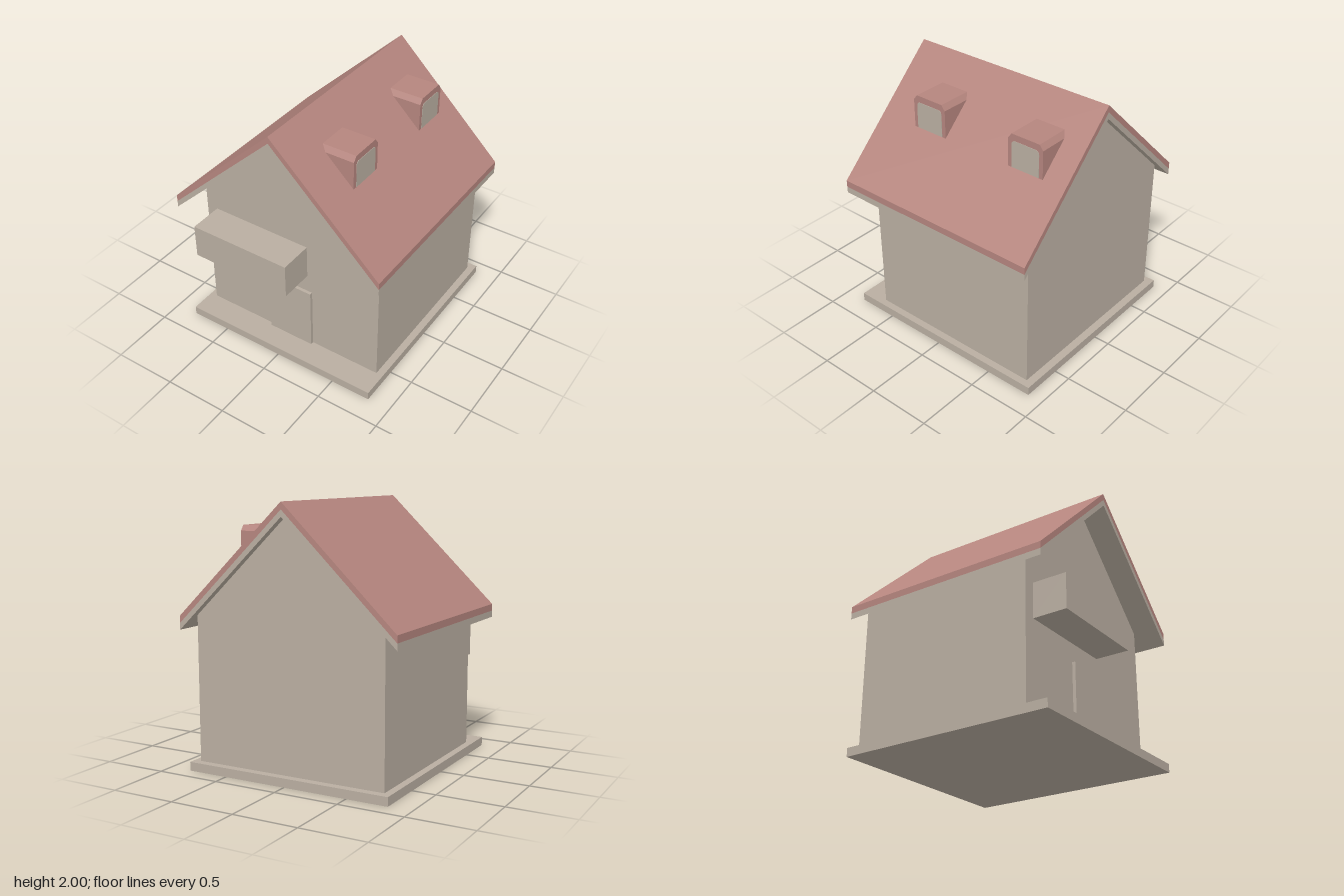
import * as THREE from 'three';

const PITCH = 0.84 / 0.88; // roof fall per unit of x
const roofY = (x) => 2 - PITCH * Math.abs(x);

function polygon(points) {
  return new THREE.Shape(points.map(([x, y]) => new THREE.Vector2(x, y)));
}

// Extrude a front profile between two depths
function extrudeZ(points, z0, z1) {
  const geo = new THREE.ExtrudeGeometry(polygon(points), { depth: z1 - z0, bevelEnabled: false });
  return geo.translate(0, 0, z0);
}

// Box given by its limits
function boxBetween(x0, x1, y0, y1, z0, z1) {
  const geo = new THREE.BoxGeometry(x1 - x0, y1 - y0, z1 - z0);
  return geo.translate((x0 + x1) / 2, (y0 + y1) / 2, (z0 + z1) / 2);
}

// Inverted V layer, measured down from the roof surface
function roofLayer(top, bottom) {
  const e = 0.88;
  return extrudeZ([
    [-e, roofY(e) - bottom], [0, 2 - bottom], [e, roofY(e) - bottom],
    [e, roofY(e) - top], [0, 2 - top], [-e, roofY(e) - top],
  ], -0.88, 0.82);
}

export function createModel() {
  const group = new THREE.Group();
  const stone = new THREE.MeshStandardMaterial({ color: 0xb9aea1 });
  stone.name = 'warm stone';
  const tile = new THREE.MeshStandardMaterial({ color: 0xb5857e });
  tile.name = 'red tile';

  const add = (name, geo, material, parent = group) => {
    const mesh = new THREE.Mesh(geo, material);
    mesh.name = name;
    parent.add(mesh);
    return mesh;
  };

  // Plinth and gabled body
  add('plinth', boxBetween(-0.82, 0.82, 0, 0.067, -0.88, 0.82), stone);
  const w = 0.765;
  const drop = 0.104;
  add('walls', extrudeZ([
    [-w, 0.067], [w, 0.067], [w, roofY(w) - drop], [0, 2 - drop], [-w, roofY(w) - drop],
  ], -0.82, 0.62), stone);

  // Front details
  add('door', boxBetween(-0.19, 0.19, 0.067, 0.58, 0.62, 0.645), stone);
  add('balcony', boxBetween(-0.675, 0.15, 0.727, 0.997, 0.62, 0.885), stone);

  // Two-layer roof
  add('roofTiles', roofLayer(0, 0.053), tile);
  add('roofUnderside', roofLayer(0.053, 0.103), stone);

  // Dormers: chamfered front profile whose back follows the roof slope
  const front = 0.46;
  const low = 1.557;
  const dormerGeo = new THREE.ExtrudeGeometry(polygon([
    [-0.15, low], [0.15, low], [0.15, 1.78], [0.12, 1.82], [-0.12, 1.82], [-0.15, 1.78],
  ]), { depth: 1, bevelEnabled: false });
  dormerGeo.rotateY(Math.PI / 2);
  const pos = dormerGeo.attributes.position;
  for (let i = 0; i < pos.count; i++) {
    const back = Math.min((2 - pos.getY(i)) / PITCH, front) - 0.004;
    pos.setX(i, pos.getX(i) > 0.5 ? front : back);
  }
  dormerGeo.computeVertexNormals();

  // Window pane with rounded upper corners
  const pane = new THREE.Shape();
  pane.moveTo(-0.118, 1.563);
  pane.lineTo(0.118, 1.563);
  pane.lineTo(0.118, 1.735);
  pane.quadraticCurveTo(0.118, 1.77, 0.085, 1.77);
  pane.lineTo(-0.085, 1.77);
  pane.quadraticCurveTo(-0.118, 1.77, -0.118, 1.735);
  const paneGeo = new THREE.ExtrudeGeometry(pane, { depth: 0.003, bevelEnabled: false, curveSegments: 5 });
  paneGeo.rotateY(Math.PI / 2).translate(front, 0, 0);

  for (const z of [0.34, -0.54]) {
    const dormer = new THREE.Group();
    dormer.name = z > 0 ? 'frontDormer' : 'backDormer';
    dormer.position.z = z;
    add('dormerBody', dormerGeo, tile, dormer);
    add('dormerWindow', paneGeo, stone, dormer);
    group.add(dormer);
  }

  return group;
}
